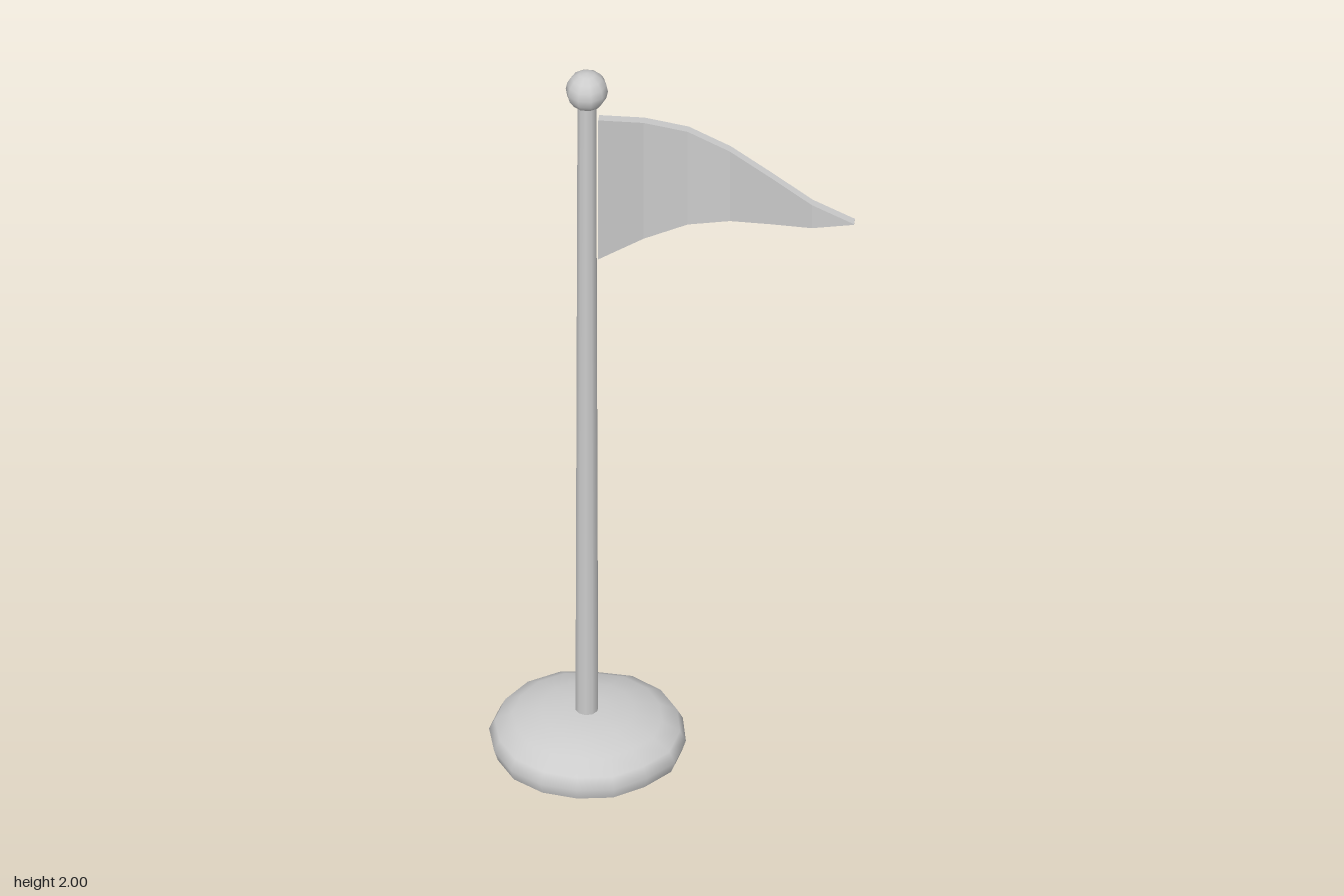
import * as THREE from 'three';
import { mergeVertices } from 'three/addons/utils/BufferGeometryUtils.js';

const POLE_X = -0.21;
// Uneven rim radius, every 22.5 degrees from +x towards +z
const RIM = [0.239, 0.24, 0.23, 0.233, 0.229, 0.231, 0.234, 0.232, 0.236, 0.236, 0.24, 0.24, 0.23, 0.241, 0.242, 0.24];

// Lathe with its rings pushed in and out to follow the uneven rim
function stoneGeometry(profile) {
  const geo = new THREE.LatheGeometry(profile.map(([r, y]) => new THREE.Vector2(r, y)), RIM.length);
  const pos = geo.attributes.position;
  for (let i = 0; i < pos.count; i++) {
    const x = pos.getX(i), z = pos.getZ(i);
    const a = Math.atan2(z, x);
    const k = (Math.round(a / (Math.PI * 2) * RIM.length) + RIM.length) % RIM.length;
    const s = RIM[k];
    pos.setX(i, x * s);
    pos.setZ(i, z * s);
  }
  geo.deleteAttribute('uv');
  geo.deleteAttribute('normal');
  const merged = mergeVertices(geo, 1e-5);
  merged.computeVertexNormals();
  return merged;
}

// Tapering pennant: a thin wavy slab built from cross-sections
function pennantGeometry() {
  const wave = [-0.006, -0.054, -0.076, -0.054, -0.005, 0.047, 0.068];
  const x0 = -0.182, x1 = 0.443, midY = 1.658, half = 0.207, t = 0.011;
  const n = wave.length - 1;
  const section = (i) => {
    const u = i / n, x = x0 + (x1 - x0) * u, h = Math.max(half * (1 - u), 0.001), z = wave[i];
    return [
      [x, midY - h, z + t], [x, midY + h, z + t],
      [x, midY + h, z - t], [x, midY - h, z - t],
    ];
  };
  const verts = [];
  const quad = (a, b, c, d) => verts.push(...a, ...b, ...c, ...a, ...c, ...d);
  for (let i = 0; i < n; i++) {
    const p = section(i), q = section(i + 1);
    for (let k = 0; k < 4; k++) {
      const m = (k + 1) % 4;
      quad(p[k], q[k], q[m], p[m]);
    }
  }
  const a = section(0), b = section(n);
  quad(a[0], a[1], a[2], a[3]);
  quad(b[3], b[2], b[1], b[0]);
  const geo = new THREE.BufferGeometry();
  geo.setAttribute('position', new THREE.Float32BufferAttribute(verts, 3));
  geo.computeVertexNormals();
  return geo;
}

export function createModel() {
  const group = new THREE.Group();
  const grey = new THREE.MeshStandardMaterial({ color: 0xcccccc });
  grey.name = 'plain grey';

  const add = (name, geo, x = 0, y = 0) => {
    const mesh = new THREE.Mesh(geo, grey);
    mesh.name = name;
    mesh.position.set(x, y, 0);
    group.add(mesh);
  };

  // Rounded stone foot with a flat underside
  add('base', stoneGeometry([[0.96, 0], [1, 0.03], [0.94, 0.058], [0.76, 0.084], [0.48, 0.102], [0.22, 0.108], [0, 0.108]]), POLE_X);
  add('baseUnderside', stoneGeometry([[0, 0], [0.96, 0]]), POLE_X);

  // Slightly tapering pole and its ball
  add('pole', new THREE.CylinderGeometry(0.023, 0.028, 1.84, 10, 1, true), POLE_X, 1.0);
  add('finial', new THREE.SphereGeometry(0.051, 10, 8), POLE_X, 1.949);

  add('pennant', pennantGeometry());
  return group;
}
